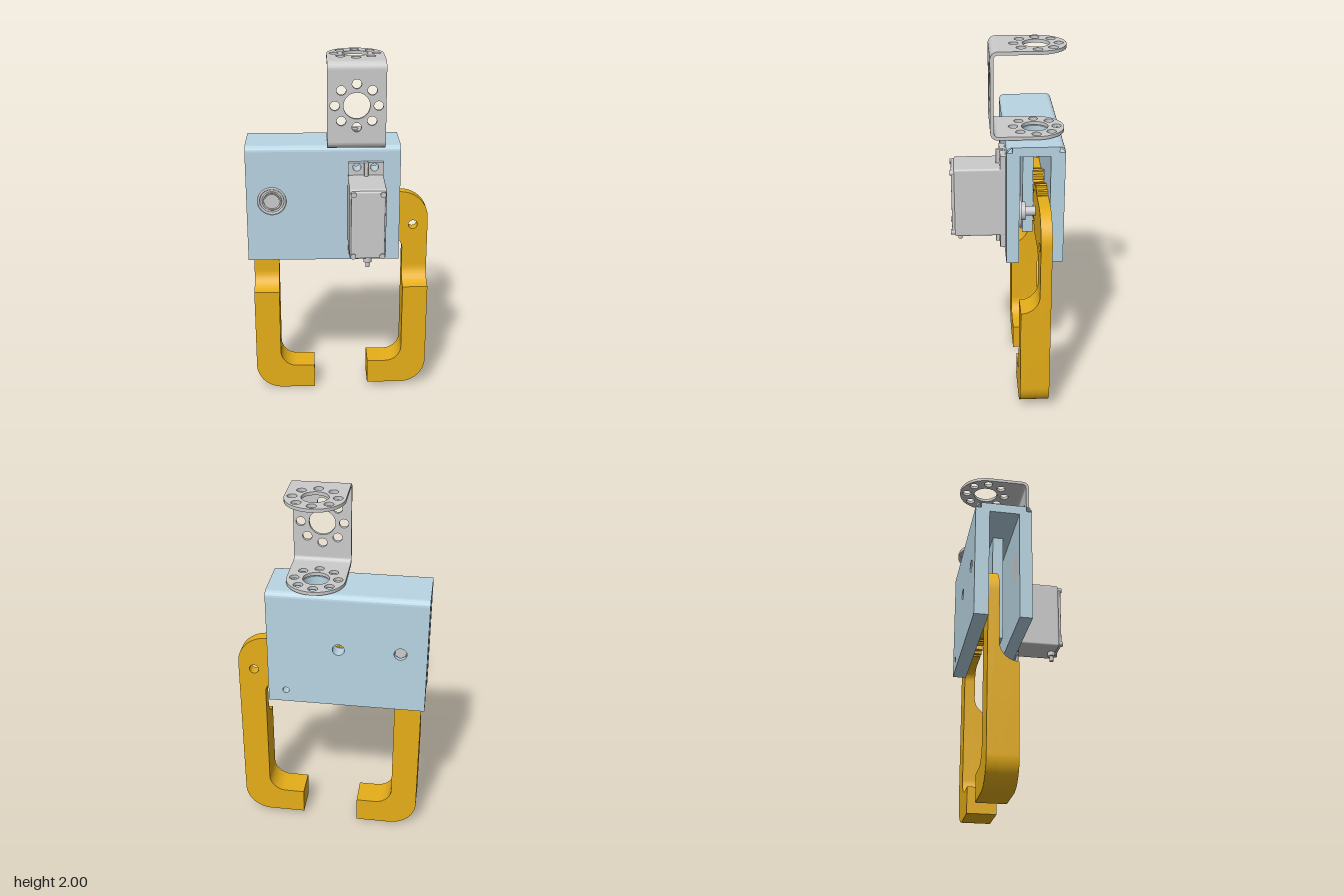
import * as THREE from 'three';
import { toCreasedNormals } from 'three/addons/utils/BufferGeometryUtils.js';
import { RoundedBoxGeometry } from 'three/addons/geometries/RoundedBoxGeometry.js';

const grey = new THREE.MeshStandardMaterial({ color: 0xcccccc });
const blue = new THREE.MeshStandardMaterial({ color: 0xb9d5e3 });
const gold = new THREE.MeshStandardMaterial({ color: 0xe6ae18 });

function add(parent, name, geometry, material) {
  const mesh = new THREE.Mesh(geometry, material);
  mesh.name = name;
  parent.add(mesh);
  return mesh;
}

const rect = (x0, y0, x1, y1) => new THREE.Shape([[x0, y0], [x1, y0], [x1, y1], [x0, y1]].map(p => new THREE.Vector2(...p)));

function drill(shape, x, y, r) {
  shape.holes.push(new THREE.Path().absarc(x, y, r, 0, Math.PI * 2, true));
}

// Central hole with a ring of eight small ones
function drillPattern(shape, x, y) {
  drill(shape, x, y, 0.07);
  for (let i = 0; i < 8; i++) {
    const a = i * Math.PI / 4;
    drill(shape, x + 0.115 * Math.cos(a), y + 0.115 * Math.sin(a), 0.025);
  }
}

const extrude = (shape, depth) => toCreasedNormals(
  new THREE.ExtrudeGeometry(shape, { depth, bevelEnabled: false, curveSegments: 20 }), 0.5);
// Shape in (x, y), from z0 to z1
const alongZ = (shape, z0, z1) => extrude(shape, z1 - z0).translate(0, 0, z0);
// Shape in (z, y), from x0 to x1
const alongX = (shape, x0, x1) => extrude(shape, x1 - x0).rotateY(-Math.PI / 2).translate(x1, 0, 0);
// Shape in (x, -z), from y0 to y1
const alongY = (shape, y0, y1) => extrude(shape, y1 - y0).rotateX(-Math.PI / 2).translate(0, y0, 0);
// Cylinder pointing along z
const disc = (x, y, z0, z1, r, n = 32) =>
  new THREE.CylinderGeometry(r, r, z1 - z0, n).rotateX(Math.PI / 2).translate(x, y, (z0 + z1) / 2);

function makeHousing() {
  const g = new THREE.Group();
  g.name = 'housing';
  const L = -0.515, R = 0.33;
  const front = rect(L, 0.87, R, 1.5);
  drill(front, -0.375, 1.22, 0.08);
  for (const x of [0.09, 0.185]) for (const y of [0.945, 1.42]) drill(front, x, y, 0.022);
  add(g, 'frontWall', alongZ(front, -0.055, 0.012), blue);

  const back = rect(L, 0.87, R, 1.5);
  drill(back, -0.375, 1.215, 0.034);
  drill(back, -0.05, 1.215, 0.032);
  drill(back, 0.235, 0.94, 0.018);
  add(g, 'backWall', alongZ(back, -0.29, -0.215), blue);

  const top = rect(L, 0.018, R, 0.26);
  drill(top, 0.085, 0.15, 0.072);
  for (const x of [-0.03, 0.2]) drill(top, x, 0.15, 0.022);
  add(g, 'topWall', alongY(top, 1.48, 1.53), blue);

  // Rounded upper edges
  for (const [z, a] of [[-0.018, 0], [-0.26, Math.PI / 2]]) {
    const s = new THREE.Shape();
    s.moveTo(z, 1.5);
    s.absarc(z, 1.5, 0.03, a, a + Math.PI / 2, false);
    add(g, 'roundedEdge', alongX(s, L, R), blue);
  }
  add(g, 'innerRib', alongX(rect(-0.155, 0.87, -0.097, 1.49), -0.25, -0.03), blue);

  // Bearing and bolt seated in the walls
  add(g, 'bearing', disc(-0.375, 1.22, -0.055, 0.006, 0.08), grey);
  for (const [r, w] of [[0.073, 0.007], [0.05, 0.005]])
    add(g, 'bearingRing', new THREE.TorusGeometry(r, w, 8, 40).translate(-0.375, 1.22, 0.008), grey);
  add(g, 'boltHead', disc(-0.375, 1.22, 0, 0.012, 0.04), grey);
  add(g, 'boltEnd', disc(-0.375, 1.215, -0.275, -0.22, 0.033, 6), grey);
  return g;
}

function makeBracket() {
  const g = new THREE.Group();
  g.name = 'bracket';
  const L = -0.07, R = 0.24, cx = 0.085, t = 0.018, r = 0.04, zf = 0.09, y0 = 1.535, y1 = 2;
  const face = rect(L, y0 + r, R, y1 - r);
  drillPattern(face, cx, 1.77);
  add(g, 'bracketFace', alongZ(face, zf - t, zf), grey);
  for (const top of [false, true]) {
    const s = new THREE.Shape();
    s.moveTo(L, r - zf);
    s.lineTo(R, r - zf);
    s.lineTo(R, 0.15);
    s.absarc(cx, 0.15, 0.155, 0, Math.PI, false);
    drillPattern(s, cx, 0.15);
    const y = top ? y1 - t : y0;
    add(g, 'bracketFlange', alongY(s, y, y + t), grey);
    // Quarter bend between face and flange
    const b = new THREE.Shape(), cy = top ? y1 - r : y0 + r;
    const a = top ? 0 : -Math.PI / 2;
    b.absarc(zf - r, cy, r, a, a + Math.PI / 2, false);
    b.absarc(zf - r, cy, r - t, a + Math.PI / 2, a, true);
    add(g, 'bracketBend', alongX(b, L, R), grey);
  }
  return g;
}

function makeServo() {
  const g = new THREE.Group();
  g.name = 'servo';
  const cx = 0.14;
  const box = (name, x0, x1, y0, y1, z0, z1, r) => add(g, name,
    new RoundedBoxGeometry(x1 - x0, y1 - y0, z1 - z0, 3, r)
      .translate((x0 + x1) / 2, (y0 + y1) / 2, (z0 + z1) / 2), grey);
  box('servoBody', 0.042, 0.236, 0.985, 1.375, -0.06, 0.282, 0.012);
  box('servoCover', 0.05, 0.228, 0.993, 1.367, 0.27, 0.297, 0.008);
  for (const x of [0.062, 0.216]) for (const y of [1.007, 1.352])
    add(g, 'coverScrew', disc(x, y, 0.27, 0.304, 0.015, 16), grey);
  // Mounting ears with screw slots
  for (const [y0, y1, yh] of [[0.915, 0.995, 0.945], [1.365, 1.445, 1.42]]) {
    const s = rect(0.045, y0, 0.235, y1);
    for (const x of [0.09, 0.185]) drill(s, x, yh, 0.022);
    add(g, 'mountingEar', alongZ(s, 0.012, 0.04), grey);
    box('earRib', cx - 0.012, cx + 0.012, y0 - 0.005, y1 + 0.005, 0.02, 0.06, 0.005);
  }
  // Cable outlet under the body
  add(g, 'cableOutlet', new THREE.CylinderGeometry(0.022, 0.022, 0.03, 16).translate(cx, 0.975, 0.255), grey);
  add(g, 'cableSleeve', new THREE.CylinderGeometry(0.013, 0.011, 0.05, 16).translate(cx, 0.955, 0.255), grey);
  // Output stage and horn
  add(g, 'outputBoss', disc(cx, 1.085, -0.075, -0.05, 0.09), grey);
  add(g, 'outputHorn', disc(cx, 1.085, -0.1, -0.07, 0.05), grey);
  add(g, 'outputShaft', disc(cx, 1.085, -0.16, -0.09, 0.026), grey);
  return g;
}

// Finger with a gear on its pivot; side -1 mirrors it
function makeFinger(name, side) {
  const g = new THREE.Group();
  g.name = name;
  const X = x => side > 0 ? x : 0.015 - x;
  const Y = y => side > 0 ? y : y - 0.025;
  const zb = -0.215, zm = -0.155, zf = -0.055;

  function outline(upper) {
    const s = new THREE.Shape();
    const line = (x, y) => s.lineTo(X(x), Y(y));
    const bend = (x, y, u, v) => s.bezierCurveTo(...[...x, ...y, u, v].map((n, i) => i % 2 ? Y(n) : X(n)));
    s.moveTo(X(0.165), Y(0.03));
    line(0.36, 0.03);
    bend([0.443, 0.03], [0.51, 0.097], 0.51, 0.18);
    if (upper) {
      line(0.51, 1.05);
      bend([0.51, 1.138], [0.438, 1.21], 0.35, 1.21);
      line(0.17, 1.21);
      line(0.17, 0.935);
      line(0.295, 0.935);
      bend([0.334, 0.935], [0.365, 0.904], 0.365, 0.865);
    } else {
      line(0.51, 0.66);
      line(0.365, 0.66);
    }
    line(0.365, 0.27);
    bend([0.365, 0.218], [0.322, 0.175], 0.27, 0.175);
    line(0.165, 0.175);
    return s;
  }
  const plate = outline(true);
  drill(plate, X(0.425), Y(1.01), 0.026);
  add(g, 'fingerPlate', alongZ(plate, zb, zm), gold);
  add(g, 'fingerGrip', alongZ(outline(false), zm, zf), gold);

  // Concave step between the grip and the plate
  const f = new THREE.Shape();
  f.moveTo(zm, Y(0.66));
  f.lineTo(zf, Y(0.66));
  f.absarc(zf, Y(0.76), 0.1, -Math.PI / 2, -Math.PI, true);
  const xs = [X(0.365), X(0.51)].sort((a, b) => a - b);
  add(g, 'fingerStep', alongX(f, xs[0], xs[1]), gold);

  // Gear
  const pts = [], teeth = 24, cx = X(0.14), cy = Y(1.085);
  for (let i = 0; i < teeth; i++) {
    for (const [k, r] of [[0, 0.125], [0.25, 0.125], [0.45, 0.152], [0.8, 0.152]]) {
      const a = (i + k) / teeth * Math.PI * 2;
      pts.push(new THREE.Vector2(cx + r * Math.cos(a), cy + r * Math.sin(a)));
    }
  }
  const gear = new THREE.Shape(pts);
  drill(gear, cx, cy, 0.026);
  add(g, 'fingerGear', alongZ(gear, zb, zm), gold);
  return g;
}

export function createModel() {
  const model = new THREE.Group();
  model.name = 'gripper';
  model.add(makeHousing(), makeBracket(), makeServo(), makeFinger('leftFinger', 1), makeFinger('rightFinger', -1));
  return model;
}
